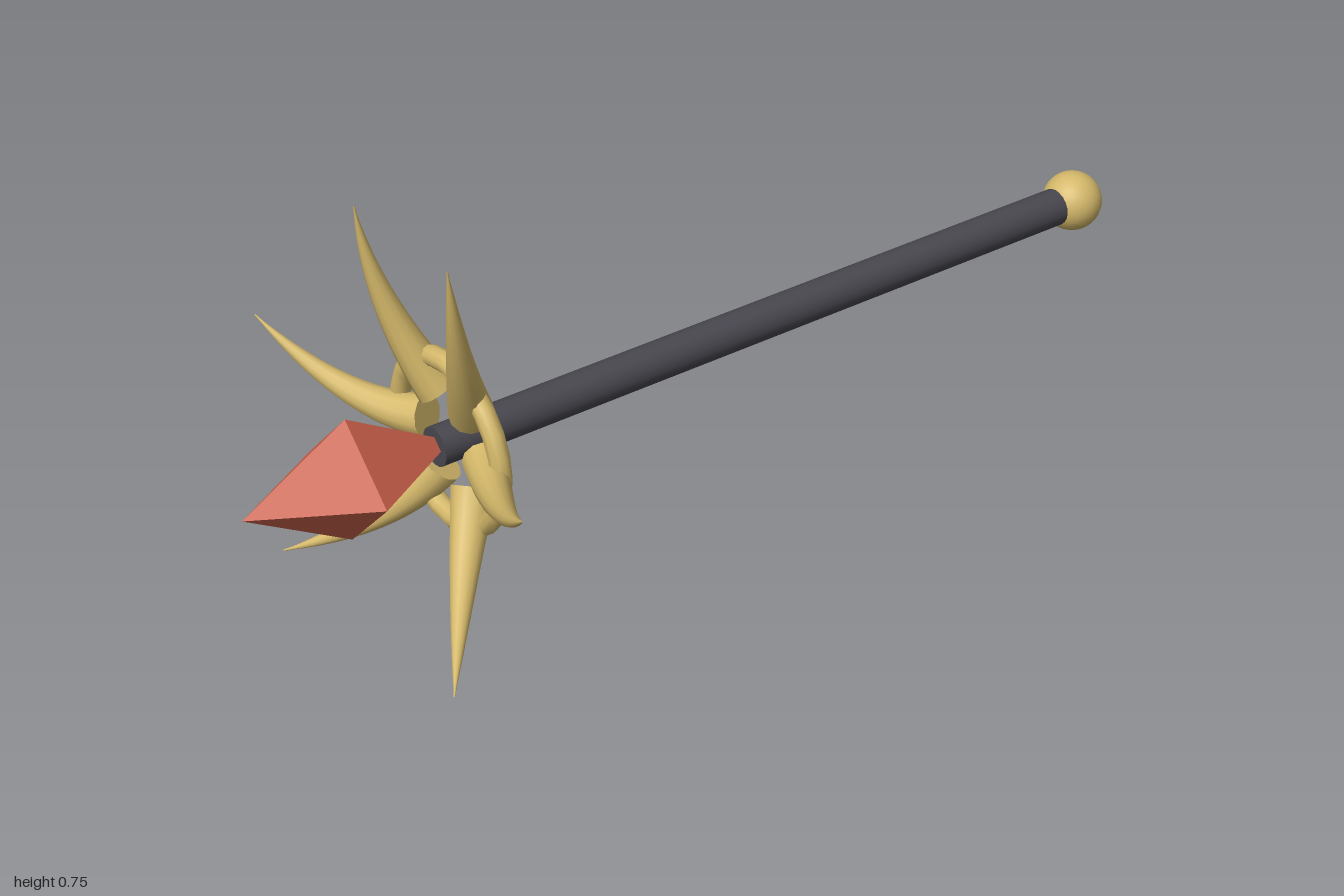
import * as THREE from 'three';

const AXIS_Y = 0.312;

export function createModel() {
  const model = new THREE.Group();
  model.name = 'spikedSceptre';
  const material = (name, color, flatShading = false) => {
    const m = new THREE.MeshStandardMaterial({ color, flatShading });
    m.name = name;
    return m;
  };
  const gold = material('gold', 0xd4b86a);
  const darkGrip = material('dark grip', 0x49474f);
  const red = material('red crystal', 0xcc614b, true);

  const add = (name, geometry, mat, z = 0) => {
    const mesh = new THREE.Mesh(geometry, mat);
    mesh.name = name;
    mesh.position.set(0, AXIS_Y, z);
    model.add(mesh);
    return mesh;
  };

  // Shaft along z, with a ball at the back end
  add('shaft', new THREE.CylinderGeometry(0.038, 0.038, 1.53, 20).rotateX(Math.PI / 2), darkGrip, -0.16);
  add('pommel', new THREE.SphereGeometry(0.061, 24, 16), gold, -0.939);

  // Ring around the head
  add('ring', new THREE.TorusGeometry(0.163, 0.02, 10, 24), gold, 0.572);

  // Eight-sided crystal at the front
  add('crystal', new THREE.OctahedronGeometry(1).scale(0.125, 0.125, 0.215), red, 0.785);

  // Curved horn: a tube narrowed to a point, with a disc closing its base
  const RINGS = 20, SIDES = 12, BASE_RADIUS = 0.042;
  const horn = (name, points) => {
    const curve = new THREE.QuadraticBezierCurve3(...points);
    const geometry = new THREE.TubeGeometry(curve, RINGS, BASE_RADIUS, SIDES);
    const pos = geometry.attributes.position;
    const v = new THREE.Vector3();
    for (let i = 0; i <= RINGS; i++) {
      const centre = curve.getPointAt(i / RINGS);
      const taper = Math.max(0.03, Math.pow(1 - i / RINGS, 0.9));
      for (let j = 0; j <= SIDES; j++) {
        const k = i * (SIDES + 1) + j;
        v.fromBufferAttribute(pos, k).sub(centre).multiplyScalar(taper).add(centre);
        pos.setXYZ(k, v.x, v.y, v.z);
      }
    }
    const group = new THREE.Group();
    group.name = name;
    const body = new THREE.Mesh(geometry, gold);
    body.name = name + 'Body';
    const cap = new THREE.Mesh(new THREE.CircleGeometry(BASE_RADIUS, SIDES), gold);
    cap.name = name + 'Base';
    cap.position.copy(points[0]);
    cap.lookAt(points[0].clone().sub(curve.getTangent(0)));
    group.add(body, cap);
    model.add(group);
  };

  // Three mirrored pairs: base, bend and tip
  const pairs = {
    upperHorn: [[0.052, 0.392, 0.558], [0.137, 0.56, 0.635], [0.147, 0.752, 0.655]],
    sideHorn: [[0.093, 0.315, 0.56], [0.25, 0.285, 0.635], [0.433, 0.423, 0.71]],
    lowerHorn: [[0.052, 0.235, 0.56], [0.118, 0.095, 0.635], [0.287, 0.003, 0.768]],
  };
  for (const [name, points] of Object.entries(pairs)) {
    for (const side of [1, -1]) {
      horn(name + (side > 0 ? 'Left' : 'Right'),
        points.map(([x, y, z]) => new THREE.Vector3(side * x, y, z)));
    }
  }
  return model;
}
